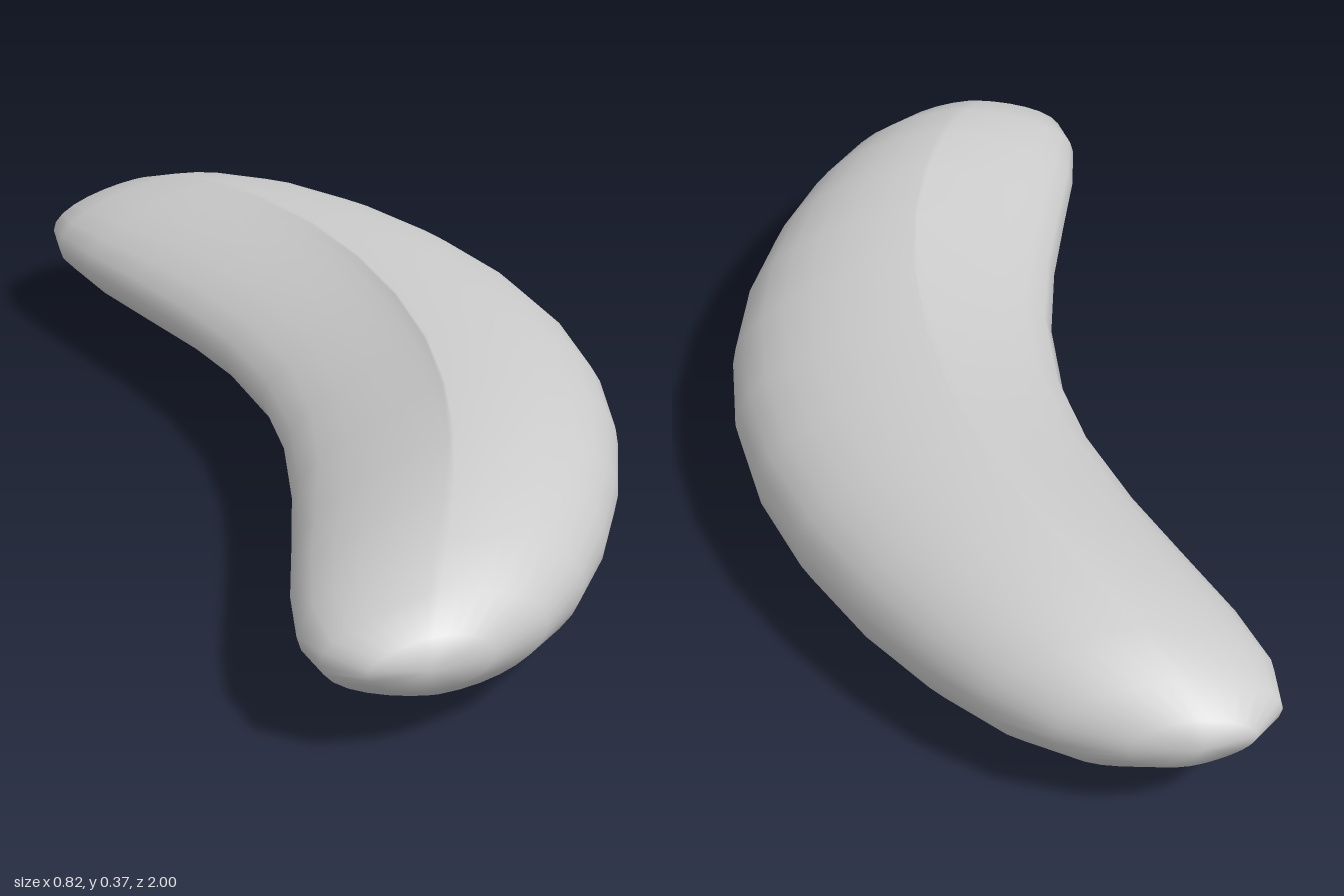
import * as THREE from 'three';
import { mergeVertices } from 'three/addons/utils/BufferGeometryUtils.js';

// Unit sphere with its poles on z, swollen towards the ends and bent into a bean
// whose inner side is pinched to a lip
function beanGeometry() {
  let geo = new THREE.SphereGeometry(1, 32, 16).rotateX(Math.PI / 2);
  geo.deleteAttribute('uv');
  geo.deleteAttribute('normal');
  geo = mergeVertices(geo, 1e-4); // close the seam for smooth shading
  const pos = geo.attributes.position;
  for (let i = 0; i < pos.count; i++) {
    const z = pos.getZ(i);
    const z2 = z * z;
    const ring = Math.sqrt(Math.max(1 - z2, 0)); // radius of this cross-section
    const across = ring > 1e-4 ? THREE.MathUtils.clamp(pos.getX(i) / ring, -1, 1) : 0;
    const swell = Math.sqrt(1 + z2); // blunter ends than an ellipsoid

    // Outline seen from above, and the crest line between its two edges
    const spine = 0.0975 - 0.45 * z2 + 0.11 * z2 * z2;
    const halfWidth = 0.315 * ring * swell * (1 + 0.3 * z2 ** 3);
    const crest = 0.05 - 0.2925 * z2;

    // Round outer side; inner side pinched, most strongly in the middle
    const pinch = 1.4 + 1.4 * (1 - z2) ** 2;
    const x = across > 0
      ? crest + across * (spine + halfWidth - crest)
      : crest - (-across) ** pinch * (crest - spine + halfWidth);
    pos.setX(i, x);
    pos.setY(i, 0.185 + pos.getY(i) * 0.185 * swell);
  }
  geo.computeVertexNormals();
  return geo;
}

export function createModel() {
  const group = new THREE.Group();
  const material = new THREE.MeshStandardMaterial({ color: 0xcccccc });
  const bean = new THREE.Mesh(beanGeometry(), material);
  bean.name = 'beanBody';
  group.add(bean);
  return group;
}
